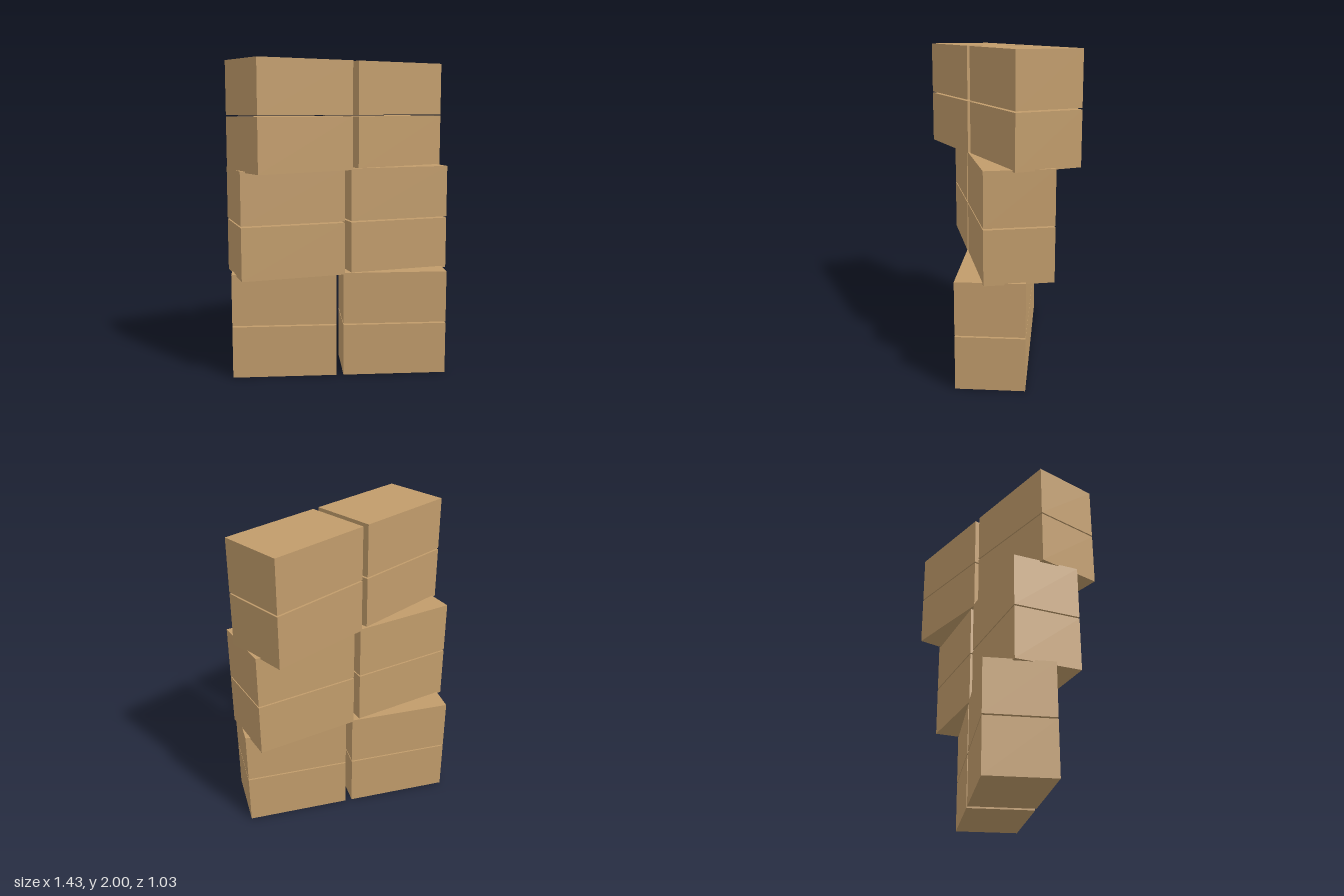
import * as THREE from 'three';

// Three twisted tiers of boxes, each tier two boxes wide and two high
export function createModel() {
  const model = new THREE.Group();
  model.name = 'boxStack';

  const cardboard = new THREE.MeshStandardMaterial({ color: 0xc19c6b });
  cardboard.name = 'cardboard';

  const width = 0.664, height = 0.332, depth = 0.42;
  const sideGap = 0.044, rowGap = 0.009;
  const tierPitch = 0.6635, twist = 0.25;
  const boxGeometry = new THREE.BoxGeometry(width, height, depth);

  for (let t = 0; t < 3; t++) {
    const tier = new THREE.Group();
    tier.name = `tier${t + 1}`;
    tier.position.y = t * tierPitch;
    tier.rotation.y = t * twist;

    for (let row = 0; row < 2; row++) {
      for (const side of [-1, 1]) {
        const box = new THREE.Mesh(boxGeometry, cardboard);
        box.name = `${row ? 'upper' : 'lower'}${side > 0 ? 'Left' : 'Right'}Box`;
        box.position.set(side * (width + sideGap) / 2, height / 2 + row * (height + rowGap), 0);
        tier.add(box);
      }
    }
    model.add(tier);
  }
  return model;
}
